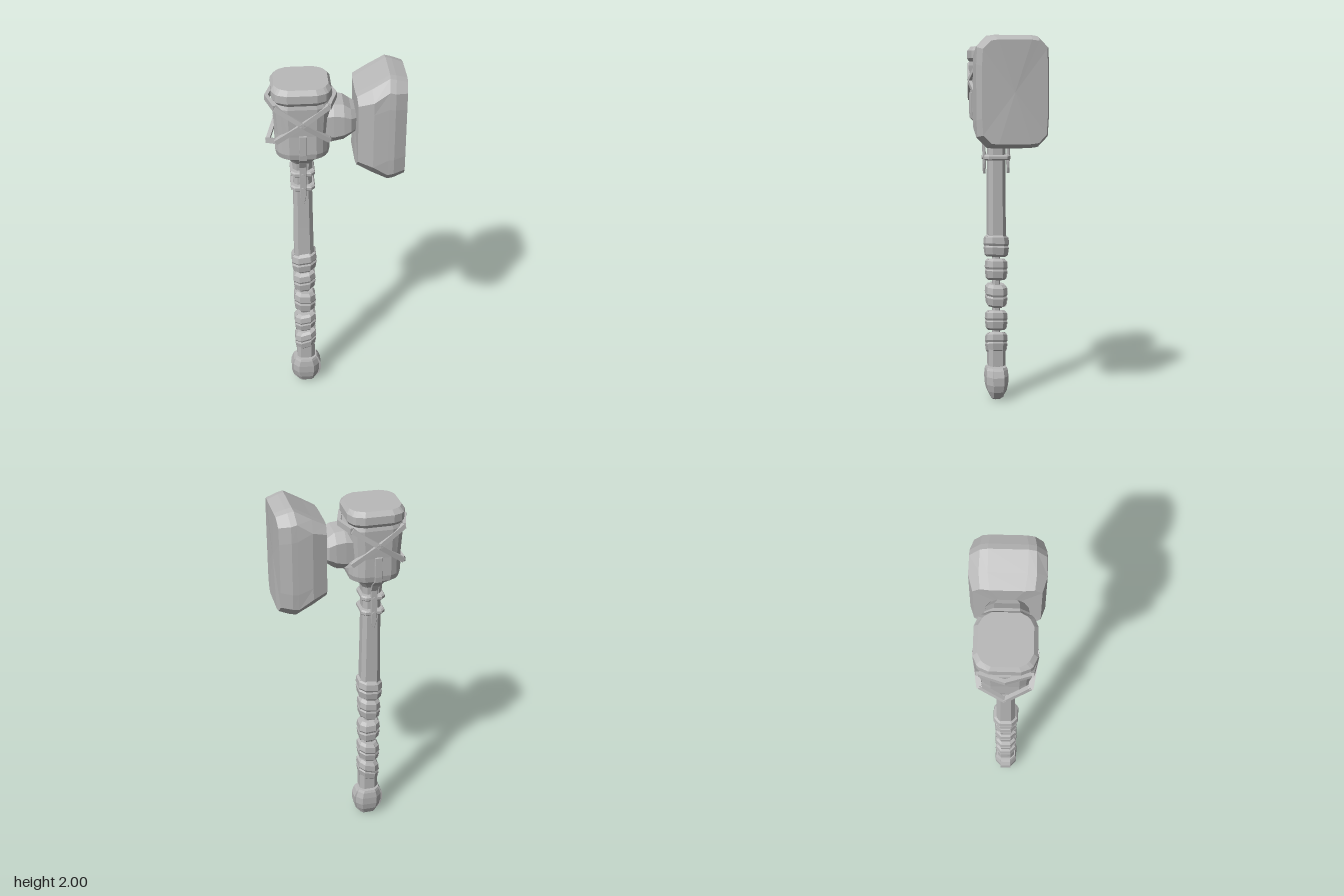
import * as THREE from 'three';

const steel = new THREE.MeshStandardMaterial({ color: 0xb9b9b9 });
steel.name = 'grey steel';
const AXIS = -0.165; // x of the handle axis

// Chamfered 16-point outline; bow pulls the corners in from the mid-sides
function outline({ a = 0, b = 0, ha, hb, c = 0.02, bow = 0 }) {
  const quarter = [[ha, hb * 0.5], [ha - bow, hb - bow - c], [ha - bow - c, hb - bow], [ha * 0.5, hb]];
  const mirrored = quarter.map(([u, v]) => [-u, v]).reverse();
  const half = [...quarter, ...mirrored];
  const other = half.map(([u, v]) => [-u, -v]);
  return [...half, ...other].map(([u, v]) => [a + u, b + v]);
}

// Faceted skin through stacked outlines, closed at both ends
function loft(name, sections, place = (a, t, b) => [a + AXIS, t, b]) {
  const rings = sections.map((s) => outline(s).map(([a, b]) => place(a, s.t, b)));
  const pos = [];
  const n = rings[0].length;
  const middle = (r) => [0, 1, 2].map((k) => r.reduce((sum, p) => sum + p[k], 0) / n);
  const low = middle(rings[0]);
  const high = middle(rings[rings.length - 1]);
  for (let i = 0; i < n; i++) {
    const j = (i + 1) % n;
    for (let k = 0; k + 1 < rings.length; k++) {
      const [p, q] = [rings[k], rings[k + 1]];
      pos.push(...p[i], ...q[i], ...q[j], ...p[i], ...q[j], ...p[j]);
    }
    pos.push(...low, ...rings[0][i], ...rings[0][j]);
    const top = rings[rings.length - 1];
    pos.push(...high, ...top[j], ...top[i]);
  }
  const geo = new THREE.BufferGeometry();
  geo.setAttribute('position', new THREE.Float32BufferAttribute(pos, 3));
  geo.computeVertexNormals();
  const mesh = new THREE.Mesh(geo, steel);
  mesh.name = name;
  return mesh;
}

// Straight strap between two points, its flat side facing outward
function strap(name, from, to, outward, width, depth) {
  const p = new THREE.Vector3(...from);
  const q = new THREE.Vector3(...to);
  const x = q.clone().sub(p);
  const length = x.length();
  x.normalize();
  const y = new THREE.Vector3(...outward).cross(x).normalize();
  const z = x.clone().cross(y);
  const geo = new THREE.BoxGeometry(length + 0.008, width, depth);
  geo.applyMatrix4(new THREE.Matrix4().makeBasis(x, y, z));
  const mid = p.add(q).multiplyScalar(0.5);
  geo.translate(mid.x + AXIS, mid.y, mid.z);
  const mesh = new THREE.Mesh(geo, steel);
  mesh.name = name;
  return mesh;
}

export function createModel() {
  const model = new THREE.Group();
  model.name = 'warHammer';

  // Striking block, flaring outward along x with slightly domed ends
  const alongX = (a, t, b) => [t + (t < 0.2 ? 0.013 : -0.01) * (b / 0.17) ** 2, a, -b];
  const block = (t, y0, y1, hb, c, bow = 0) => ({ t, a: (y0 + y1) / 2, ha: (y1 - y0) / 2, hb, c, bow });
  model.add(loft('strikingBlock', [
    block(0.09, 1.53, 1.905, 0.162, 0.035),
    block(0.16, 1.49, 1.945, 0.184, 0.05),
    block(0.26, 1.436, 2.0, 0.185, 0.05, 0.005),
    block(0.29, 1.442, 1.993, 0.185, 0.05, 0.005),
    block(0.345, 1.462, 1.975, 0.166, 0.04, 0.005),
  ], alongX));

  // Neck joining the block to the head
  model.add(loft('neck', [
    block(-0.08, 1.64, 1.82, 0.1, 0.04),
    block(-0.01, 1.63, 1.835, 0.106, 0.045),
    block(0.04, 1.64, 1.83, 0.106, 0.045),
    block(0.075, 1.665, 1.805, 0.1, 0.04),
    block(0.1, 1.675, 1.795, 0.08, 0.035),
  ], (a, t, b) => [t, a, -b]));

  // Head body with tapered collar, and its cap
  model.add(loft('headBody', [
    { t: 1.46, ha: 0.05, hb: 0.05 },
    { t: 1.5, ha: 0.052, hb: 0.052 },
    { t: 1.53, ha: 0.075, hb: 0.075, bow: 0.008 },
    { t: 1.57, ha: 0.128, hb: 0.128, bow: 0.015 },
    { t: 1.6, ha: 0.134, hb: 0.134, bow: 0.015 },
    { t: 1.7, ha: 0.134, hb: 0.132, bow: 0.015 },
    { t: 1.85, ha: 0.143, hb: 0.138, bow: 0.015 },
    { t: 1.875, ha: 0.132, hb: 0.132, bow: 0.015 },
  ]));
  model.add(loft('headCap', [
    { t: 1.87, ha: 0.135, hb: 0.135, c: 0.012, bow: 0.018 },
    { t: 1.888, ha: 0.146, hb: 0.146, c: 0.012, bow: 0.018 },
    { t: 1.928, ha: 0.146, hb: 0.146, c: 0.012, bow: 0.018 },
    { t: 1.95, ha: 0.132, hb: 0.126, c: 0.012, bow: 0.018 },
  ]));

  // Crossed straps on front and back, peaked bands on the other two sides
  const straps = new THREE.Group();
  straps.name = 'headStraps';
  for (const sx of [-1, 1]) for (const sz of [-1, 1]) {
    for (const y of [1.855, 1.675]) {
      straps.add(strap('crossStrap', [0, 1.77, sz * 0.142], [sx * 0.128, y, sz * 0.12], [0, 0, sz], 0.024, 0.026));
    }
    straps.add(strap('upperBand', [sx * 0.168, 1.855, 0], [sx * 0.132, 1.855, sz * 0.115], [sx, 0, 0], 0.03, 0.018));
    straps.add(strap('lowerBand', [sx * 0.17, 1.615, 0], [sx * 0.126, 1.675, sz * 0.118], [sx, 0, 0], 0.026, 0.02));
  }
  model.add(straps);

  // Bent langets running from the head down the shaft
  const langet = [
    [1.27, 0.003, 0.066], [1.3, 0.013, 0.066], [1.33, 0.016, 0.066], [1.49, 0.018, 0.068],
    [1.53, 0.019, 0.088], [1.57, 0.019, 0.134], [1.6, 0.019, 0.138], [1.705, 0.019, 0.138],
  ];
  for (const s of [-1, 1]) {
    model.add(loft('langet', langet.map(([t, ha, z]) => ({ t, ha, hb: 0.007, b: s * z, c: 0.002 }))));
  }

  // Collar rings with rivets
  for (const y of [1.358, 1.442]) {
    model.add(loft('collarRing', [
      { t: y - 0.014, ha: 0.057, hb: 0.065 },
      { t: y - 0.007, ha: 0.062, hb: 0.071 },
      { t: y + 0.007, ha: 0.062, hb: 0.071 },
      { t: y + 0.014, ha: 0.057, hb: 0.065 },
    ]));
    for (const s of [-1, 1]) {
      const rivet = new THREE.Mesh(new THREE.CylinderGeometry(0.011, 0.011, 0.014, 8).rotateX(Math.PI / 2), steel);
      rivet.position.set(AXIS, y, s * 0.072);
      rivet.name = 'rivet';
      model.add(rivet);
    }
  }

  // Shaft, thin core inside the grip, and lower ferrule
  model.add(loft('shaft', [
    { t: 0.88, ha: 0.053, hb: 0.049 },
    { t: 1.1, ha: 0.05, hb: 0.047 },
    { t: 1.48, ha: 0.047, hb: 0.046 },
  ]));
  model.add(loft('gripCore', [
    { t: 0.17, ha: 0.024, hb: 0.02, c: 0.01 },
    { t: 0.9, ha: 0.024, hb: 0.02, c: 0.01 },
  ]));
  model.add(loft('ferrule', [
    { t: 0.195, ha: 0.05, hb: 0.048 },
    { t: 0.29, ha: 0.05, hb: 0.048 },
  ]));

  // Slanted leather wraps, each a double bulge
  const wraps = [[0.32, 0.115, 0.3], [0.448, 0.112, 0.18], [0.592, 0.125, -0.06], [0.736, 0.12, 0.15], [0.868, 0.122, 0.14]];
  const bulge = [[-0.5, 0.046], [-0.4, 0.056], [-0.08, 0.061], [0, 0.057], [0.1, 0.062], [0.38, 0.059], [0.5, 0.046]];
  wraps.forEach(([y, height, slope], i) => {
    const grow = i === wraps.length - 1 ? 1.07 : 0.96;
    model.add(loft('gripWrap', bulge.map(([f, r]) => ({ t: y + f * height, ha: r * grow, hb: r * grow, c: 0.025, bow: 0.003 })),
      (a, t, b) => [a + AXIS, t + slope * a + 0.05 * b, b]));
  });

  // Pommel, wider across x than z
  model.add(loft('pommel', [
    { t: 0, ha: 0.028, hb: 0.022, c: 0.01 },
    { t: 0.012, ha: 0.042, hb: 0.034, c: 0.012 },
    { t: 0.05, ha: 0.072, hb: 0.052, bow: 0.008 },
    { t: 0.09, ha: 0.083, hb: 0.06, bow: 0.01 },
    { t: 0.135, ha: 0.083, hb: 0.062, bow: 0.01 },
    { t: 0.17, ha: 0.07, hb: 0.059, bow: 0.008 },
    { t: 0.184, ha: 0.06, hb: 0.054, bow: 0.005 },
  ]));
  return model;
}
